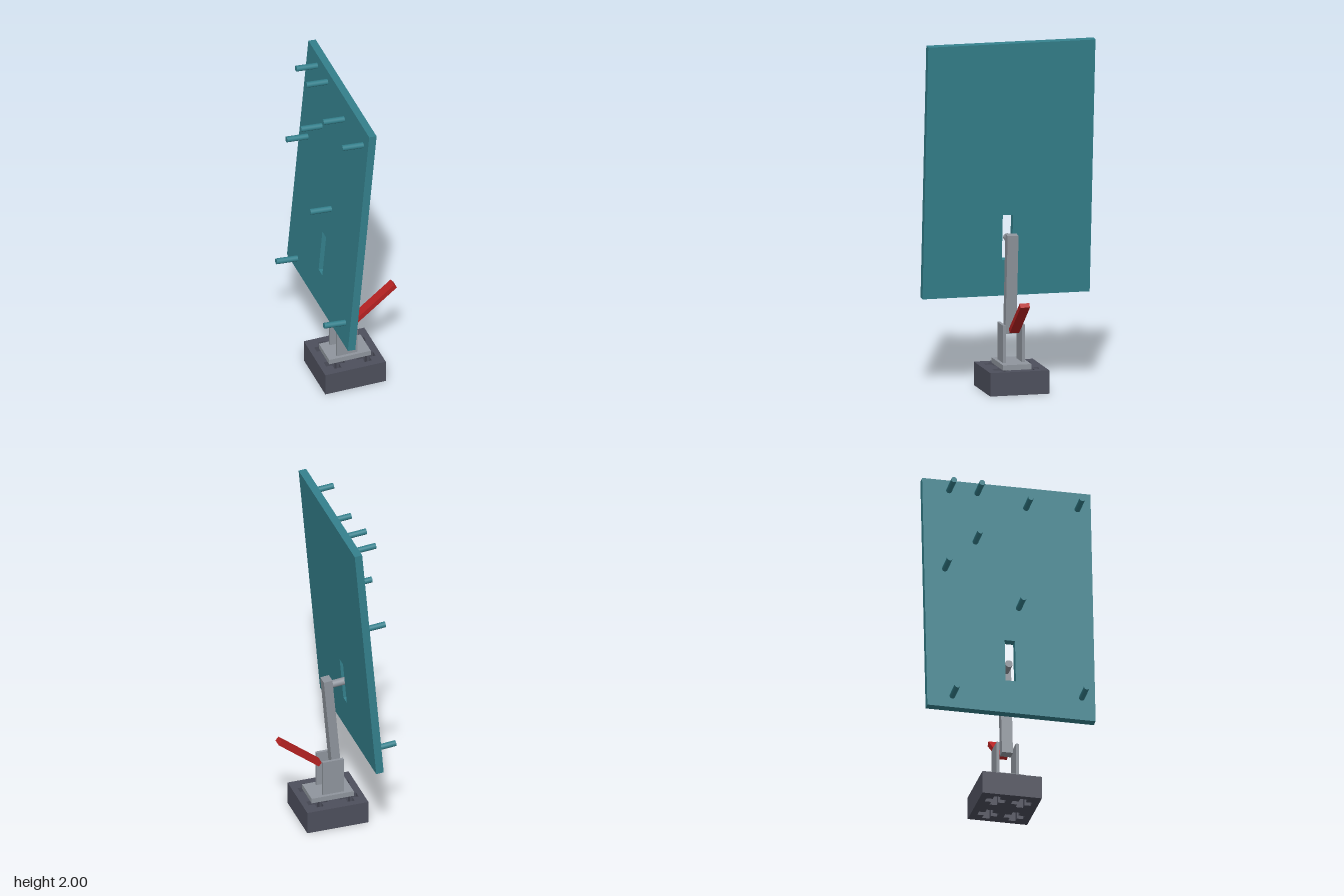
import * as THREE from 'three';

const TILT = THREE.MathUtils.degToRad(-5);

export function createModel() {
  const model = new THREE.Group();
  model.name = 'pegBoardStand';

  const mat = (name, color) => {
    const m = new THREE.MeshStandardMaterial({ color });
    m.name = name;
    return m;
  };
  const teal = mat('teal', 0x34808c);
  const grey = mat('grey', 0x8f959d);
  const dark = mat('darkGrey', 0x4d4f5c);
  const red = mat('red', 0xb52222);

  const add = (parent, name, geometry, material, x = 0, y = 0, z = 0) => {
    const mesh = new THREE.Mesh(geometry, material);
    mesh.name = name;
    mesh.position.set(x, y, z);
    parent.add(mesh);
    return mesh;
  };
  const box = (w, h, d) => new THREE.BoxGeometry(w, h, d);
  const tilted = (name, x, y) => {
    const g = new THREE.Group();
    g.name = name;
    g.position.set(x, y, 0);
    g.rotation.z = TILT;
    model.add(g);
    return g;
  };
  const rect = (Type, x0, y0, x1, y1) => {
    const p = new Type();
    p.moveTo(x0, y0);
    p.lineTo(x1, y0);
    p.lineTo(x1, y1);
    p.lineTo(x0, y1);
    p.closePath();
    return p;
  };

  // Base block with four cross-shaped through holes
  const baseShape = rect(THREE.Shape, -0.183, -0.173, 0.183, 0.173);
  const a = 0.057, b = 0.021;
  const cross = [[-b, -a], [b, -a], [b, -b], [a, -b], [a, b], [b, b],
    [b, a], [-b, a], [-b, b], [-a, b], [-a, -b], [-b, -b]];
  for (const sx of [-1, 1]) {
    for (const sz of [-1, 1]) {
      const points = cross.map(([x, y]) => new THREE.Vector2(x + sx * 0.092, y + sz * 0.076));
      baseShape.holes.push(new THREE.Path(points));
    }
  }
  const baseGeo = new THREE.ExtrudeGeometry(baseShape, { depth: 0.135, bevelEnabled: false });
  baseGeo.rotateX(-Math.PI / 2);
  add(model, 'base', baseGeo, dark, -0.0125);

  // Mounting plate and the two upright brackets
  add(model, 'mountingPlate', box(0.252, 0.03, 0.166), grey, -0.0125, 0.15, 0);
  for (const s of [-1, 1]) {
    add(model, s > 0 ? 'frontBracket' : 'backBracket', box(0.126, 0.215, 0.017), grey, -0.022, 0.2725, s * 0.056);
  }

  // Leaning arm with the pin that reaches the board's slot
  const arm = tilted('arm', -0.053, 0.32);
  add(arm, 'armBar', box(0.052, 0.576, 0.064), grey, 0, 0.288, 0);
  const pin = add(arm, 'pin', new THREE.CylinderGeometry(0.022, 0.022, 0.1, 24), grey, -0.06, 0.533, 0);
  pin.rotation.z = Math.PI / 2;

  // Lever handle
  const lever = add(model, 'lever', box(0.307, 0.028, 0.056), red, 0.1635, 0.443, 0);
  lever.rotation.z = Math.atan2(0.19, 0.241);

  // Board with a vertical slot, drawn across z and up, then turned to face x
  const thickness = 0.045;
  const board = tilted('board', -0.156, 0.522);
  const boardShape = rect(THREE.Shape, -0.49, 0, 0.49, 1.482);
  boardShape.holes.push(rect(THREE.Path, -0.03, 0.21, 0.03, 0.473));
  const boardGeo = new THREE.ExtrudeGeometry(boardShape, { depth: thickness, bevelEnabled: false });
  boardGeo.translate(0, 0, -thickness / 2);
  boardGeo.rotateY(Math.PI / 2);
  add(board, 'boardPanel', boardGeo, teal);

  // Pegs: [z, height of the outer end]
  const pegs = [
    [-0.343, 0.608], [0.412, 0.678], [0.056, 1.222],
    [-0.37, 1.432], [-0.188, 1.628], [-0.335, 1.945],
    [-0.171, 1.945], [0.112, 1.88], [0.412, 1.905],
  ];
  const pegGeo = new THREE.CylinderGeometry(0.017, 0.017, 0.138, 20);
  pegGeo.rotateZ(Math.PI / 2);
  for (const [z, y] of pegs) {
    add(board, 'peg', pegGeo, teal, -thickness / 2 - 0.059, (y - 0.535) / 0.996, z);
  }

  return model;
}
